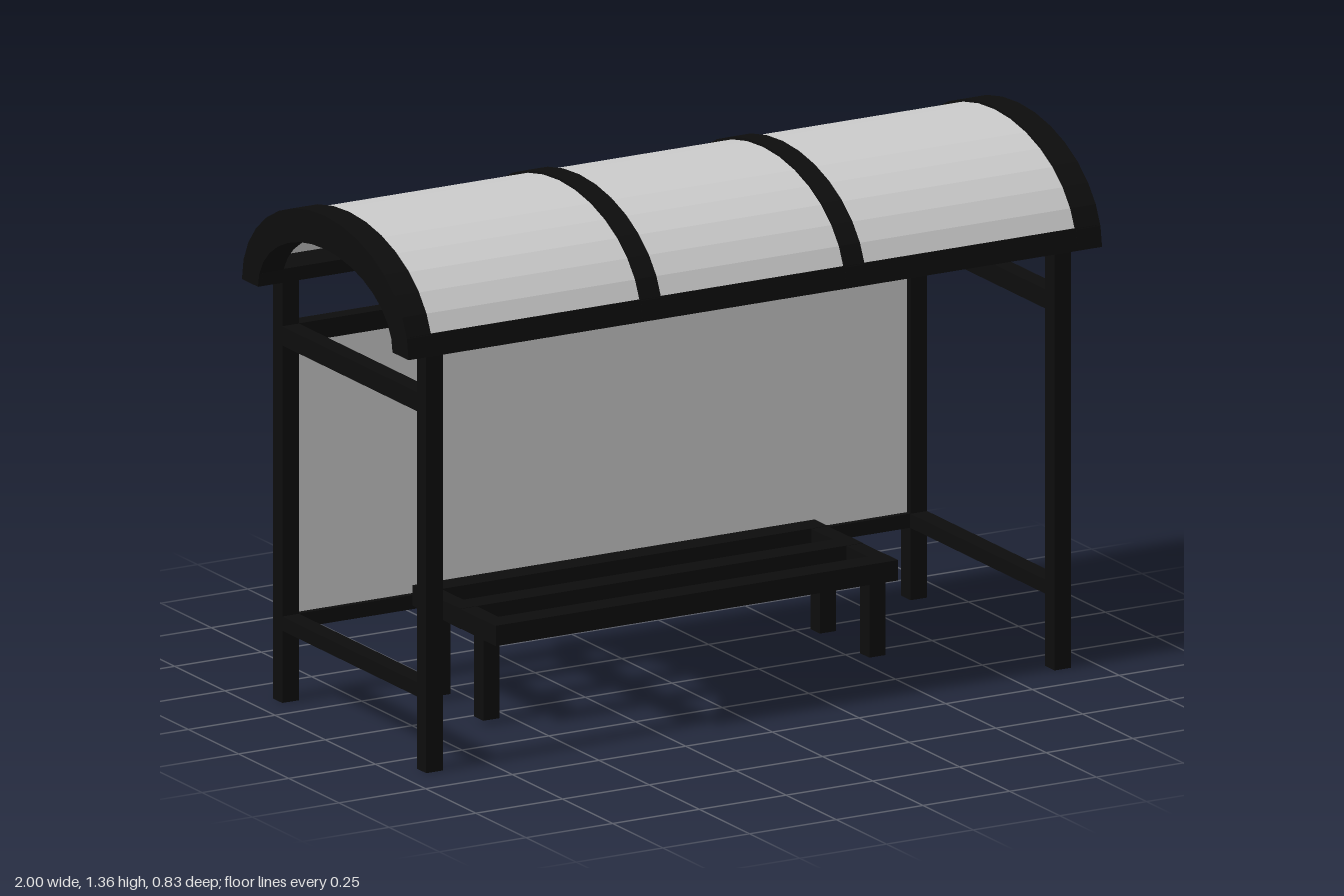
import * as THREE from 'three';

const frame = new THREE.MeshStandardMaterial({ color: 0x0d0d0d, flatShading: true });
const glass = new THREE.MeshStandardMaterial({ color: 0xcccccc, flatShading: true, side: THREE.DoubleSide });

const ROOF_Y = 1.093; // springing line of the roof arch
const STEPS = 16;

export function createModel() {
  const root = new THREE.Group();

  function add(name, geometry, material, parent = root) {
    const mesh = new THREE.Mesh(geometry, material);
    mesh.name = name;
    parent.add(mesh);
    return mesh;
  }

  // Box given by its extents on each axis
  function box(name, [x0, x1], [y0, y1], [z0, z1], material = frame, parent = root) {
    const mesh = add(name, new THREE.BoxGeometry(x1 - x0, y1 - y0, z1 - z0), material, parent);
    mesh.position.set((x0 + x1) / 2, (y0 + y1) / 2, (z0 + z1) / 2);
    return mesh;
  }

  // Band between two half ellipses, swept along x
  function arch(name, [x0, x1], outer, inner, from, to, steps, material) {
    const points = [];
    const at = ([a, b], t) => new THREE.Vector2(a * Math.cos(t), b * Math.sin(t));
    for (let i = 0; i <= steps; i++) points.push(at(outer, from + (to - from) * i / steps));
    for (let i = steps; i >= 0; i--) points.push(at(inner, from + (to - from) * i / steps));
    const geometry = new THREE.ExtrudeGeometry(new THREE.Shape(points), { depth: x1 - x0, bevelEnabled: false });
    geometry.rotateY(Math.PI / 2);
    add(name, geometry, material).position.set(x0, ROOF_Y, 0);
  }

  // Arched roof: glazing, four ribs and two eave beams
  const outer = [0.415, 0.27], inner = [0.335, 0.183];
  arch('roofGlazing', [-0.97, 0.97], [0.408, 0.263], [0.402, 0.257], 0, Math.PI, STEPS, glass);
  const ribs = [[-1, -0.93], [-0.325, -0.267], [0.263, 0.32], [0.93, 1]];
  for (const span of ribs) arch('roofRib', span, outer, inner, 0, Math.PI, STEPS, frame);
  arch('frontEaveBeam', [-0.99, 0.99], outer, inner, Math.PI - 0.21, Math.PI, 1, frame);
  arch('backEaveBeam', [-0.99, 0.99], outer, inner, 0, 0.21, 1, frame);

  // Corner posts and side rails
  const upper = [0.93, 0.98], lower = [0.188, 0.225];
  for (const side of [-1, 1]) {
    const xs = side < 0 ? [-0.93, -0.882] : [0.882, 0.93];
    box('frontPost', xs, [0, 1.12], [0.335, 0.382]);
    box('backPost', xs, [0, 1.12], [-0.382, -0.335]);
    box('upperSideRail', xs, upper, [-0.34, 0.34]);
    box('lowerSideRail', xs, lower, [-0.34, 0.34]);
  }

  // Back wall
  box('upperBackRail', [-0.89, 0.89], upper, [-0.38, -0.337]);
  box('lowerBackRail', [-0.89, 0.89], lower, [-0.38, -0.337]);
  box('backPanel', [-0.89, 0.89], [0.22, 0.935], [-0.368, -0.352], glass);

  // Bench: three slats, end pieces and four legs
  const bench = new THREE.Group();
  bench.name = 'bench';
  root.add(bench);
  const seatY = [0.222, 0.275];
  for (let i = 0; i < 3; i++) {
    const z = -0.265 + i * 0.175;
    box('benchSlat', [-0.595, 0.565], seatY, [z, z + 0.065], frame, bench);
  }
  for (const x of [-0.595, 0.518]) {
    box('benchEnd', [x, x + 0.047], [0.223, 0.274], [-0.264, 0.149], frame, bench);
    for (const z of [-0.205, 0.041]) box('benchLeg', [x, x + 0.047], [0.012, 0.23], [z, z + 0.047], frame, bench);
  }

  return root;
}
